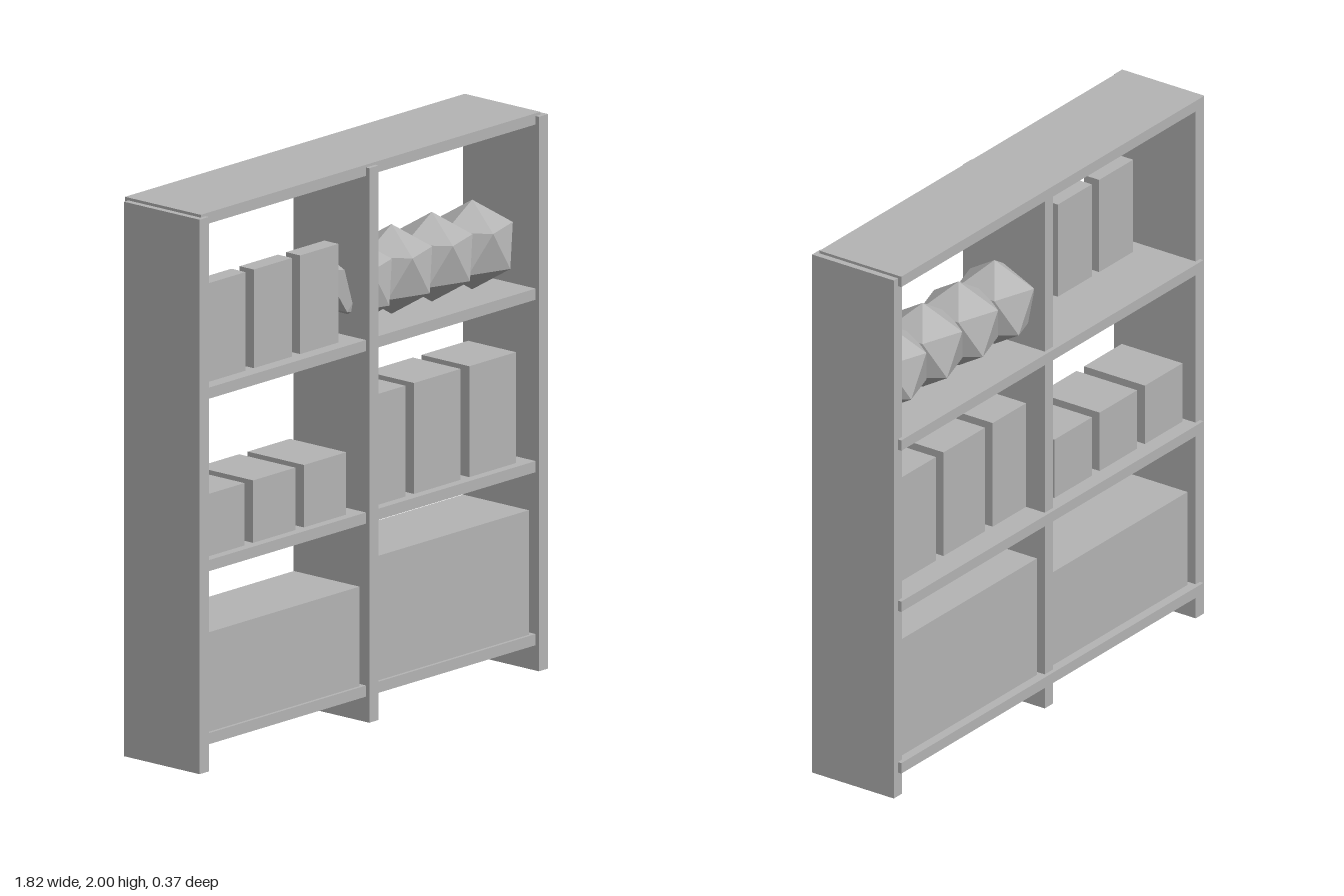
import * as THREE from 'three';

export function createModel() {
  const group = new THREE.Group();
  const grey = new THREE.MeshStandardMaterial({ color: 0xb4b4b4 });
  grey.name = 'grey';

  const add = (name, geometry, x, y, z) => {
    const mesh = new THREE.Mesh(geometry, grey);
    mesh.name = name;
    mesh.position.set(x, y, z);
    group.add(mesh);
  };

  // Box centred on x, standing on y, spanning back to front in z
  const block = (name, x, y, width, height, back, front) =>
    add(name, new THREE.BoxGeometry(width, height, front - back),
      x, y + height / 2, (back + front) / 2);

  // Upright panels
  const uprights = { rightPanel: -0.884, middlePanel: 0, leftPanel: 0.884 };
  for (const [name, x] of Object.entries(uprights)) block(name, x, 0, 0.048, 1.99, -0.17, 0.18);

  // Shelves, set slightly behind the uprights; heights are their top faces
  const [low, middle, high, roof] = [0.131, 0.752, 1.371, 2];
  for (const top of [low, middle, high, roof]) block('shelf', 0, top - 0.04, 1.77, 0.04, -0.185, 0.165);

  // Large storage boxes on the lowest shelf
  block('storageBox', -0.442, low, 0.795, 0.357, -0.15, 0.153);
  block('storageBox', 0.44, low, 0.795, 0.447, -0.15, 0.153);

  // Rows of three on the upper shelves
  for (let i = 0; i < 3; i++) {
    block('smallBox', -0.73 + i * 0.265, middle, 0.22, 0.224, -0.128, 0.132);
    block('tallBox', 0.098 + i * 0.288, middle, 0.243, 0.398, -0.09, 0.131);
    block('book', -0.695 + i * 0.242, high, 0.199, 0.354, 0.05, 0.115);
  }

  // Faceted balls, turned to stand on a corner
  const radius = 0.161;
  const ball = new THREE.IcosahedronGeometry(radius, 0);
  ball.rotateZ(Math.atan(2 / (1 + Math.sqrt(5))));
  for (let i = 0; i < 4; i++) add('facetedBall', ball, 0.077 + i * 0.21, high + radius, 0.007);

  return group;
}
